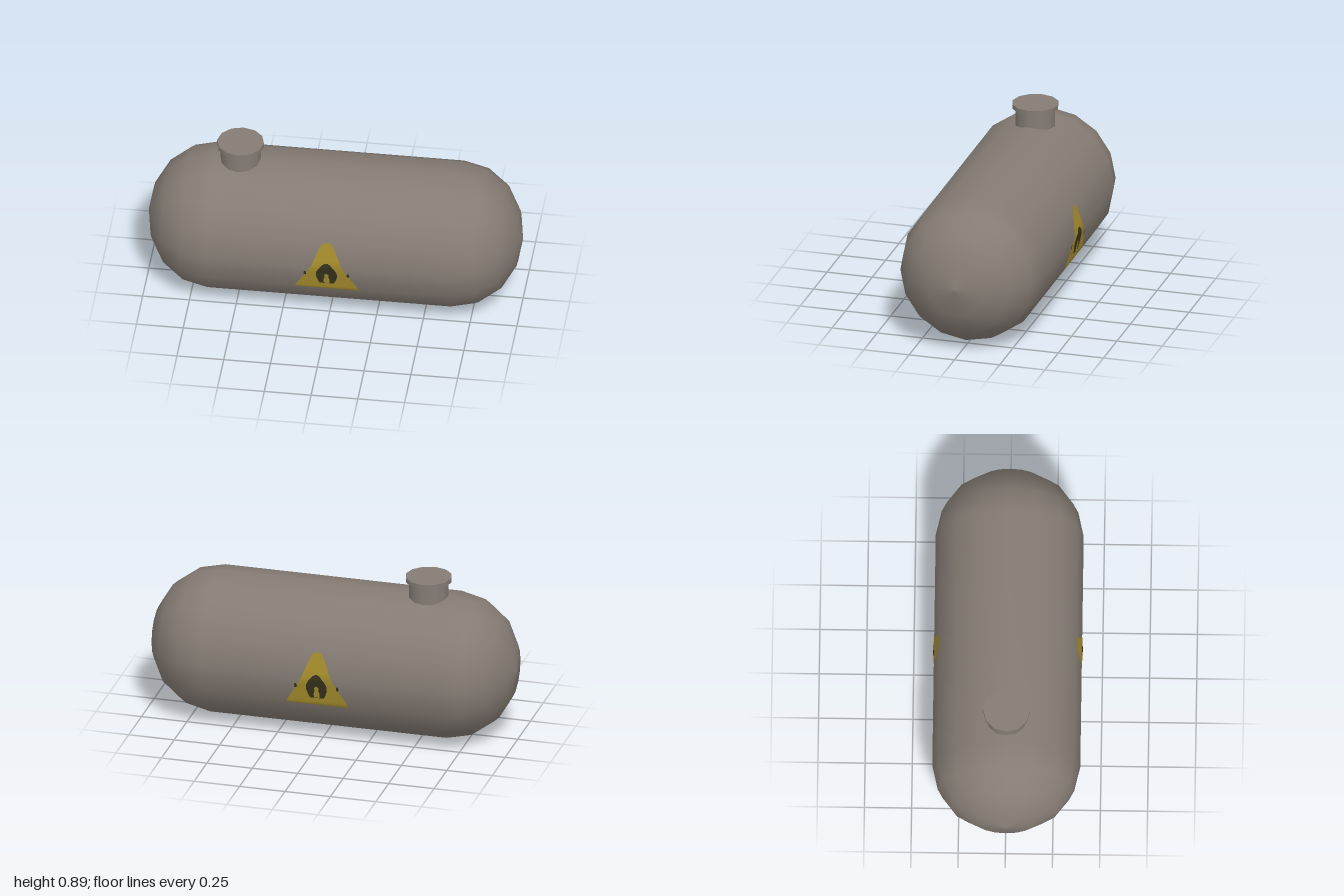
import * as THREE from 'three';

const R = 0.392, CY = 0.395, SIDES = 16;

const paint = (name, color) => {
  const m = new THREE.MeshStandardMaterial({ color });
  m.name = name;
  return m;
};

// Depth of the sixteen-sided hull wall at height y
function wallZ(y) {
  const step = (Math.PI * 2) / SIDES, d = Math.abs(y - CY);
  const i = Math.floor(Math.asin(Math.min(d / R, 1)) / step);
  const y0 = R * Math.sin(i * step), y1 = R * Math.sin((i + 1) * step);
  return R * THREE.MathUtils.lerp(Math.cos(i * step), Math.cos((i + 1) * step), (d - y0) / (y1 - y0));
}

// Thin decal following the wall, from rows of [height, half width] going up
function decal(name, rows, lift, material, cx = 0) {
  const pos = [], index = [];
  rows.forEach(([y, w], i) => {
    const z = wallZ(y) + lift;
    pos.push(cx - w, y, z, cx + w, y, z);
    if (i > 0) {
      const a = 2 * i - 2;
      index.push(a, a + 1, a + 3, a, a + 3, a + 2);
    }
  });
  const g = new THREE.BufferGeometry();
  g.setAttribute('position', new THREE.Float32BufferAttribute(pos, 3));
  g.setIndex(index);
  g.computeVertexNormals();
  const mesh = new THREE.Mesh(g, material);
  mesh.name = name;
  return mesh;
}

export function createModel() {
  const model = new THREE.Group();
  model.name = 'storageTank';
  const metal = paint('warm grey metal', 0x857c74);
  const yellow = paint('warning yellow', 0xa68e2c);
  const dark = paint('symbol dark', 0x37331f);

  const add = (name, geometry, x, y) => {
    const mesh = new THREE.Mesh(geometry, metal);
    mesh.name = name;
    mesh.position.set(x, y, 0);
    model.add(mesh);
    return mesh;
  };

  // Hull: straight barrel with domed ends, lying along x
  const dome = [[0, 1], [0.15, 0.973], [0.278, 0.898], [0.362, 0.784], [R, 0.65]];
  const profile = [
    ...dome.map(([r, h]) => new THREE.Vector2(r, -h)),
    ...dome.slice().reverse().map(([r, h]) => new THREE.Vector2(r, h)),
  ];
  add('hull', new THREE.LatheGeometry(profile, SIDES).rotateZ(-Math.PI / 2), 0, CY);

  // Filler neck and lid
  add('fillerNeck', new THREE.CylinderGeometry(0.108, 0.108, 0.13, 12, 1, true), -0.51, 0.805);
  add('fillerLid', new THREE.CylinderGeometry(0.125, 0.125, 0.024, 12), -0.51, 0.877);

  // Warning triangle with flame, on front and back
  const triangle = [[0.235, 0.168], [0.245, 0.17], [0.26, 0.162], [0.35, 0.108], [CY, 0.083],
    [0.44, 0.065], [0.5, 0.042], [0.53, 0.024], [0.54, 0.008]];
  const flame = [[0.28, 0.038], [0.3, 0.047], [0.33, 0.057], [0.36, 0.055], [0.385, 0.042],
    [CY, 0.034], [0.412, 0.02], [0.42, 0.006]];
  const core = [[0.283, 0.014], [0.3, 0.017], [0.318, 0.014], [0.326, 0.009], [0.34, 0.013], [0.352, 0.003]];
  const fleck = [[0.335, 0.004], [0.345, 0.008], [0.36, 0.004]];
  for (const side of ['front', 'back']) {
    const sign = new THREE.Group();
    sign.name = side + 'WarningSign';
    sign.add(
      decal('signPlate', triangle, 0.002, yellow),
      decal('flame', flame, 0.004, dark),
      decal('flameCore', core, 0.006, yellow),
      decal('leftFleck', fleck, 0.004, dark, 0.115),
      decal('rightFleck', fleck, 0.004, dark, -0.115),
    );
    if (side === 'back') sign.rotation.y = Math.PI;
    model.add(sign);
  }
  return model;
}
